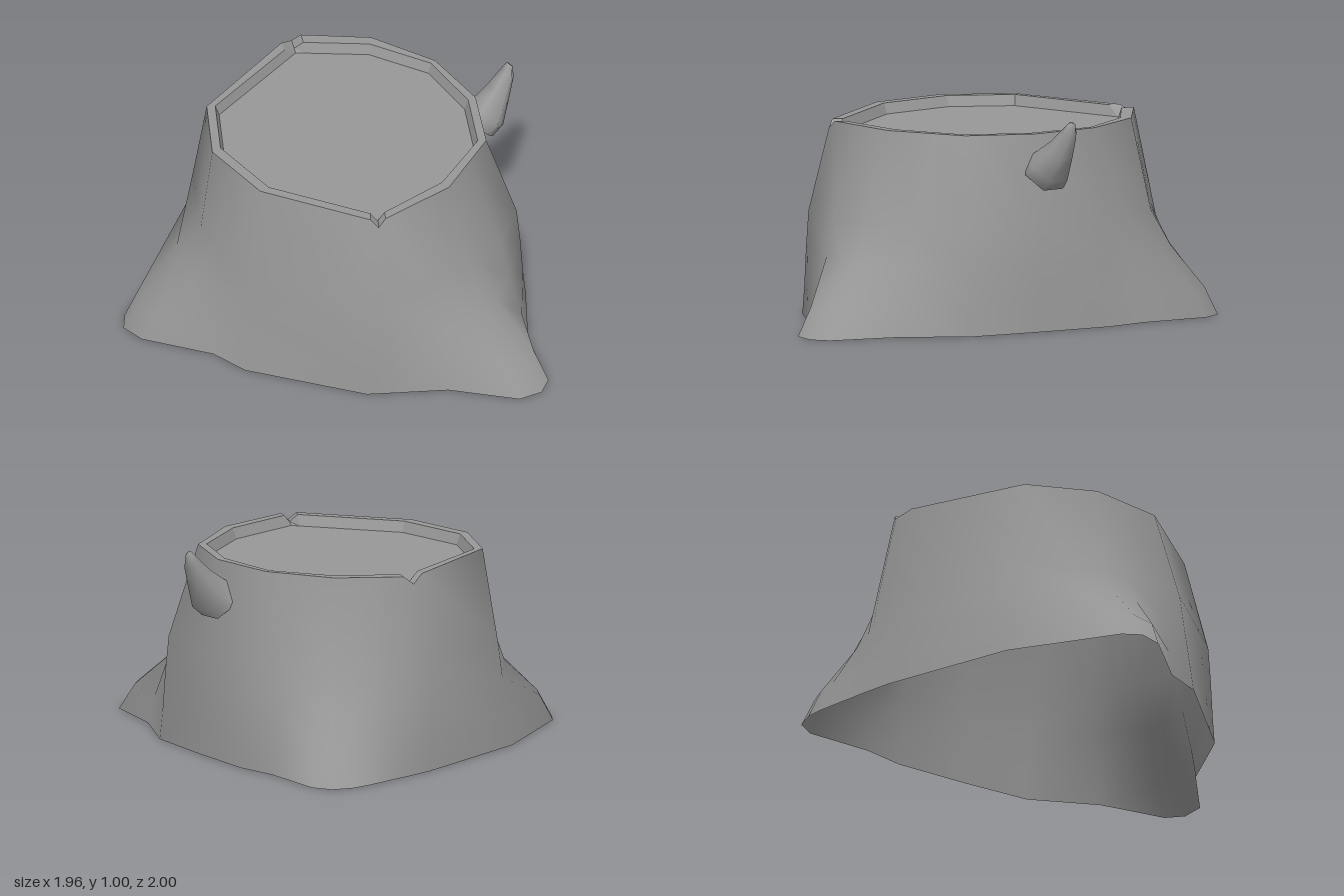
import * as THREE from 'three';

// Skin a list of closed rings (arrays of Vector3, equal length); optional end cap on the last ring
function loft(rings, { flat = false, cap = false } = {}) {
  const n = rings[0].length, index = [];
  const points = rings.flat();
  for (let r = 0; r < rings.length - 1; r++) {
    for (let i = 0; i < n; i++) {
      const j = (i + 1) % n;
      const a = r * n + i, b = r * n + j, c = a + n, d = b + n;
      index.push(a, c, b, b, c, d);
    }
  }
  if (cap) {
    const centre = new THREE.Vector3();
    const last = rings[rings.length - 1];
    last.forEach((p) => centre.addScaledVector(p, 1 / n));
    points.push(centre);
    const o = (rings.length - 1) * n;
    for (let i = 0; i < n; i++) index.push(o + i, points.length - 1, o + ((i + 1) % n));
  }
  let g = new THREE.BufferGeometry().setFromPoints(points);
  g.setIndex(index);
  if (flat) g = g.toNonIndexed();
  g.computeVertexNormals();
  return g;
}

// Blend each normal with its neighbours so narrow columns do not shade as hard bands
function softenNormals(geometry, radius) {
  const { position, normal } = geometry.attributes;
  const read = (attr) => Array.from({ length: attr.count }, (_, i) => new THREE.Vector3().fromBufferAttribute(attr, i));
  const points = read(position), normals = read(normal);
  points.forEach((p, i) => {
    const sum = new THREE.Vector3();
    points.forEach((q, j) => sum.addScaledVector(normals[j], Math.exp(-p.distanceToSquared(q) / radius ** 2)));
    sum.normalize();
    normal.setXYZ(i, sum.x, sum.y, sum.z);
  });
  return geometry;
}

// Ten-sided rim outline (x, z): outer edge and inner edge
const OUTER = [[-0.57, -0.11], [-0.56, 0.24], [-0.35, 0.55], [0.19, 0.81], [0.53, 0.56],
  [0.72, 0.21], [0.685, -0.12], [0.51, -0.41], [0.22, -0.6], [-0.15, -0.64]];
const INNER = [[-0.53, -0.11], [-0.52, 0.21], [-0.31, 0.52], [0.19, 0.76], [0.5, 0.52],
  [0.68, 0.21], [0.65, -0.1], [0.49, -0.39], [0.21, -0.55], [-0.14, -0.58]];

// Columns of the trunk: ground x, ground z, position along the rim, how much it is a root (0..1)
const COLUMNS = [
  [-0.69, -0.22, 0, 0.4], [-0.97, 0.27, 0.6, 1], [-0.98, 0.37, 1, 1], [-0.9, 0.46, 1.4, 0.9],
  [-0.57, 0.59, 1.8, 0.4], [-0.43, 0.72, 2, 0.2], [0.09, 0.915, 2.93, 0], [0.13, 0.93, 3, 0],
  [0.19, 0.928, 3.1, 0], [0.51, 0.915, 3.5, 0.4], [0.84, 1.0, 3.85, 0.9], [0.945, 0.95, 4, 0.9],
  [0.98, 0.86, 4.2, 0.9], [0.9, 0.54, 4.6, 0.4], [0.905, 0.19, 5, 0], [0.78, -0.14, 6, 0.1],
  [0.64, -0.47, 7, 0.2], [0.52, -0.64, 7.5, 0.5], [0.385, -0.94, 7.8, 0.85], [0.3, -1.0, 8, 0.85],
  [0.2, -0.985, 8.3, 0.85], [0.12, -0.94, 8.55, 0.8], [-0.04, -0.825, 8.88, 0.5],
  [-0.09, -0.79, 9, 0.4], [-0.22, -0.69, 9.12, 0.3],
];
const NOTCHES = [3, 9];
const TOP = 0.92;

function along(outline, u) {
  const i = Math.floor(u), f = u - i;
  const a = outline[i % 10], b = outline[(i + 1) % 10];
  return [a[0] + (b[0] - a[0]) * f, a[1] + (b[1] - a[1]) * f];
}

// Ring on the rim, dipping at the notches
function rimRing(outline, y, dip = 0, scale = 1) {
  return COLUMNS.map(([, , u]) => {
    const [x, z] = along(outline, u);
    return new THREE.Vector3(0.07 + (x - 0.07) * scale, y - (NOTCHES.includes(u) ? dip : 0), z * scale);
  });
}

// Ring part way down: flat sides bulge early, roots flare late
function trunkRing(y, flatWeight, rootWeight) {
  return COLUMNS.map(([bx, bz, u, root]) => {
    const [x, z] = along(OUTER, u);
    const w = flatWeight + (rootWeight - flatWeight) * root;
    return new THREE.Vector3(x + (bx - x) * w, y, z + (bz - z) * w);
  });
}

export function createModel() {
  const model = new THREE.Group();
  model.name = 'treeStump';
  const material = new THREE.MeshStandardMaterial({ color: 0x989898, side: THREE.DoubleSide });
  const flatMaterial = material.clone();
  flatMaterial.flatShading = true;
  const add = (name, geometry, mat) => {
    const mesh = new THREE.Mesh(geometry, mat);
    mesh.name = name;
    model.add(mesh);
  };

  // Trunk with flaring roots, open underneath
  add('trunkAndRoots', softenNormals(loft([
    trunkRing(0, 1, 1),
    trunkRing(0.13, 0.93, 0.83),
    trunkRing(0.32, 0.86, 0.39),
    trunkRing(0.49, 0.77, 0.13),
    rimRing(OUTER, TOP, 0.035),
  ]), 0.2), material);

  // Bark rim and its inner wall
  add('barkRim', loft([
    rimRing(OUTER, TOP, 0.035),
    rimRing(INNER, TOP, 0.035),
    rimRing(INNER, 0.87, 0, 0.97),
  ], { flat: true }), flatMaterial);

  // Recessed cut face
  add('cutFace', loft([rimRing(INNER, 0.87, 0, 0.97), rimRing(INNER, 0.87, 0, 0.5)],
    { flat: true, cap: true }), flatMaterial);

  // Bent, tapering branch stub: centre x, y, z and radius
  const path = [[0.68, 0.735, -0.165, 0.112], [0.74, 0.775, -0.19, 0.1],
    [0.795, 0.86, -0.235, 0.065], [0.84, 0.945, -0.27, 0.038], [0.852, 0.987, -0.28, 0.018]];
  const axis = new THREE.Vector3(0.18, 0.2, -0.11).normalize();
  const side = new THREE.Vector3(0, 1, 0).cross(axis).normalize();
  const up = axis.clone().cross(side);
  const branch = path.map(([x, y, z, r]) => Array.from({ length: 6 }, (_, i) => {
    const a = -(i / 6) * Math.PI * 2;
    return new THREE.Vector3(x, y, z)
      .addScaledVector(side, r * Math.cos(a)).addScaledVector(up, r * Math.sin(a));
  }));
  add('branchStub', loft(branch, { cap: true }), material);

  return model;
}
